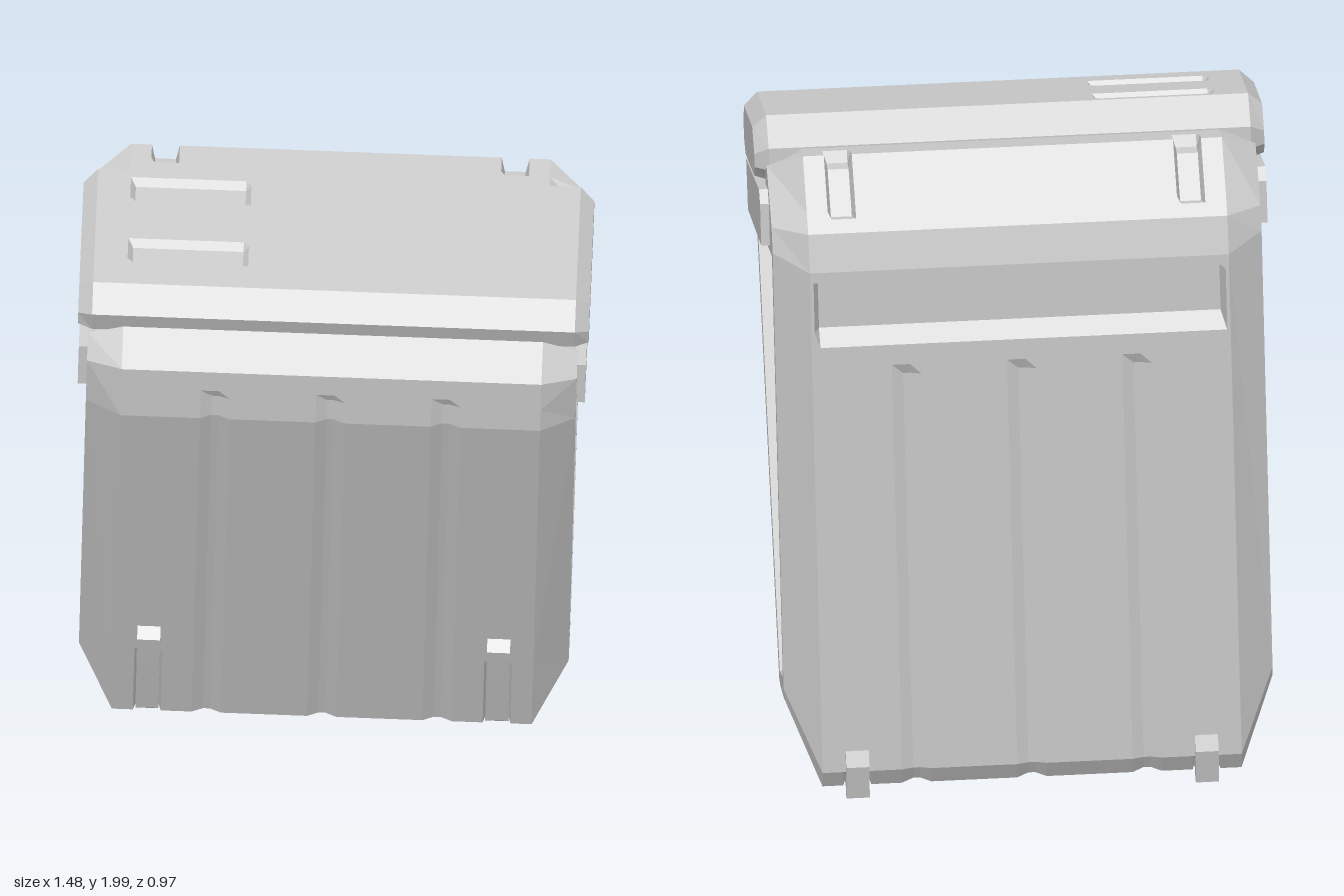
import * as THREE from 'three';

const material = new THREE.MeshStandardMaterial({ color: 0xcccccc, flatShading: true });

// Skin closed [z, y] sections placed at rising x
function loft(sections) {
  const pos = [];
  for (let i = 0; i + 1 < sections.length; i++) {
    const s = sections[i], t = sections[i + 1], n = s.pts.length;
    for (let j = 0; j < n; j++) {
      const k = (j + 1) % n;
      const a = [s.x, s.pts[j][1], s.pts[j][0]], b = [s.x, s.pts[k][1], s.pts[k][0]];
      const c = [t.x, t.pts[k][1], t.pts[k][0]], d = [t.x, t.pts[j][1], t.pts[j][0]];
      pos.push(...a, ...b, ...c, ...a, ...c, ...d);
    }
  }
  const g = new THREE.BufferGeometry();
  g.setAttribute('position', new THREE.Float32BufferAttribute(pos, 3));
  g.computeVertexNormals();
  return g;
}

// Flat end face of [z, y] points at x, facing away from the centre
function endFace(pts, x, hole) {
  const s = Math.sign(x);
  const toV = ([z, y]) => new THREE.Vector2(-s * z, y);
  const shape = new THREE.Shape(pts.map(toV));
  if (hole) shape.holes.push(new THREE.Path(hole.map(toV)));
  return new THREE.ShapeGeometry(shape).rotateY(s * Math.PI / 2).translate(x, 0, 0);
}

// Slab with a [z, y] outline from x0 to x0 + width
function slab(pts, x0, width) {
  const shape = new THREE.Shape(pts.map(([z, y]) => new THREE.Vector2(-z, y)));
  return new THREE.ExtrudeGeometry(shape, { depth: width, bevelEnabled: false })
    .rotateY(Math.PI / 2).translate(x0, 0, 0);
}

// Section from key points; each row is [key, t to next key, dent direction z, y, dent depths by kind]
function section(keys, rows, on = {}) {
  return rows.map(([k, t, nz, ny, dents]) => {
    const a = keys[k], b = keys[(k + 1) % keys.length];
    let depth = 0;
    for (const kind in dents || {}) if (on[kind]) depth = Math.max(depth, dents[kind]);
    return [a[0] + (b[0] - a[0]) * t + nz * depth, a[1] + (b[1] - a[1]) * t + ny * depth];
  });
}

// Body: outline at the middle and at the side faces
const bodyKeys = [[-0.17, 0.02], [-0.38, 0.05], [-0.41, 0.1], [-0.48, 1.63], [-0.46, 1.74], [-0.29, 1.92],
  [-0.16, 1.9], [-0.13, 1.78], [0.36, 1.74], [0.41, 1.78], [0.48, 1.68], [0.455, 1.5], [-0.125, 0.05]];
const sideKeys = [[-0.16, 0.285], [-0.31, 0.3], [-0.325, 0.33], [-0.4, 1.67], [-0.38, 1.74], [-0.21, 1.87],
  [-0.14, 1.83], [-0.12, 1.77], [0.36, 1.7], [0.39, 1.74], [0.43, 1.67], [0.385, 1.5], [-0.11, 0.29]];
const groove = { groove: 0.013 }, wrap = { groove: 0.013, clip: 0.03 };
const bodyRows = [
  [0, 0, 0, 1, wrap], [1, 0, 0.5, 0.87, wrap], [2, 0, 1, 0, groove],
  [2, 0.79, 1, 0, groove], [2, 0.81, 0, 0],
  [2, 0.85, 0, 0], [2, 0.88, 1, 0, { panel: 0.05 }], [2, 0.97, 1, 0, { panel: 0.05 }], [2, 0.98, 0, 0],
  [3, 0, 0, 0], [4, 0, 0, 0],
  [4, 0.18, 0, 0], [4, 0.28, 0.7, -0.7, { clip: 0.035 }], [5, 0, 0.1, -1, { clip: 0.045 }],
  [5, 0.42, 0, -1, { clip: 0.035 }], [5, 0.54, 0, 0],
  [6, 0, 0, 0], [7, 0, 0, 0], [8, 0, 0, 0], [9, 0, 0, 0], [10, 0, 0, 0],
  [10, 0.4, 0, 0], [10, 0.56, -1, 0, groove], [11, 0, -0.93, 0.37, groove],
  [11, 0.79, -0.93, 0.37, groove], [11, 0.8, -0.93, 0.37, wrap], [12, 0, -0.93, 0.37, wrap]];

// Lid: outline at the middle and at its ends
const lidKeys = [[0.42, 1.825], [0.385, 1.75], [0.32, 1.718], [-0.115, 1.795], [-0.165, 1.84],
  [-0.165, 1.905], [-0.08, 1.978], [0.365, 1.9]];
const lidEndKeys = [[0.385, 1.805], [0.37, 1.757], [0.32, 1.73], [-0.1, 1.805], [-0.13, 1.84],
  [-0.13, 1.88], [-0.065, 1.94], [0.335, 1.87]];
const slot = { slot: 0.02 };
const lidRows = [[0, 0, 0, 0], [1, 0, 0, 0], [2, 0, 0, 0], [3, 0, 0, 0], [4, 0, 0, 0], [5, 0, 0, 0], [6, 0, 0, 0],
  ...[0.06, 0.6].flatMap(t => [[6, t, 0, 0], [6, t + 0.035, 0, -1, slot],
    [6, t + 0.175, 0, -1, slot], [6, t + 0.21, 0, 0]]),
  [7, 0, 0, 0]];

export function createModel() {
  const model = new THREE.Group();
  const tilted = new THREE.Group();
  tilted.name = 'container';
  tilted.rotation.set(0, 0.009, -0.027);
  tilted.position.x = -0.048;
  model.add(tilted);
  const add = (name, geometry) => {
    const mesh = new THREE.Mesh(geometry, material);
    mesh.name = name;
    tilted.add(mesh);
  };

  // Body shell with shallow grooves, back panel and clip slots
  const half = [[0.01, 'groove'], [0.042], [0.288], [0.32, 'groove'], [0.34, 'groove'], [0.372],
    [0.46], [0.47, 'clip'], [0.53, 'clip'], [0.54], [0.575], [0.59], [0.6]];
  const stations = [...half.map(([x, kind]) => [-x, kind]).reverse(), ...half];
  const sideSection = bodyRows.map(([k]) => sideKeys[k]);
  add('body', loft([
    { x: -0.7, pts: sideSection },
    ...stations.map(([x, kind]) => ({
      x, pts: section(bodyKeys, bodyRows, { [kind]: true, panel: Math.abs(x) < 0.58 })
    })),
    { x: 0.7, pts: sideSection }]));

  // Lid with two slots in its top
  const lidEnd = lidRows.map(([k]) => lidEndKeys[k]), lidMid = section(lidKeys, lidRows);
  const lidSlot = section(lidKeys, lidRows, { slot: true });
  add('lid', loft([
    { x: -0.73, pts: lidEnd }, { x: -0.69, pts: lidMid },
    { x: -0.595, pts: lidMid }, { x: -0.58, pts: lidSlot },
    { x: -0.265, pts: lidSlot }, { x: -0.25, pts: lidMid },
    { x: 0.69, pts: lidMid }, { x: 0.73, pts: lidEnd }]));

  // Side parts, mirrored
  const rim = [[-0.15, 0.325], [0.34, 1.525], [-0.355, 1.645], [-0.3, 0.36]];
  const floor = [[-0.16, 0.375], [0.305, 1.51], [-0.335, 1.62], [-0.285, 0.395]];
  const band = [[0.39, 1.69], [-0.235, 1.808], [-0.27, 1.775], [-0.27, 1.65], [0.37, 1.545]];
  const strap = [[0.04, 0.465], [0.068, 0.435], [0.022, 0.32], [-0.013, 0.335], [-0.13, 0.055], [-0.17, 0.025],
    [-0.37, 0.052], [-0.385, 0.02], [-0.41, 0.02], [-0.435, 0.12], [-0.42, 0.165],
    [-0.37, 0.16], [-0.36, 0.09], [-0.18, 0.07], [-0.03, 0.4]];
  for (const s of [1, -1]) {
    const side = s > 0 ? 'left' : 'right';
    add(side + 'SideFrame', endFace(sideKeys, s * 0.7, rim));
    const walls = [{ x: s * 0.58, pts: floor }, { x: s * 0.7, pts: rim }];
    add(side + 'RecessWalls', loft(s > 0 ? walls : walls.reverse()));
    add(side + 'RecessFloor', endFace(floor, s * 0.58));
    add(side + 'LidEnd', endFace(lidEndKeys, s * 0.73));
    add(side + 'Band', slab(band, s > 0 ? 0.6 : -0.725, 0.125));
    add(side + 'Clip', slab(strap, s * 0.5 - 0.033, 0.066));
  }
  return model;
}
